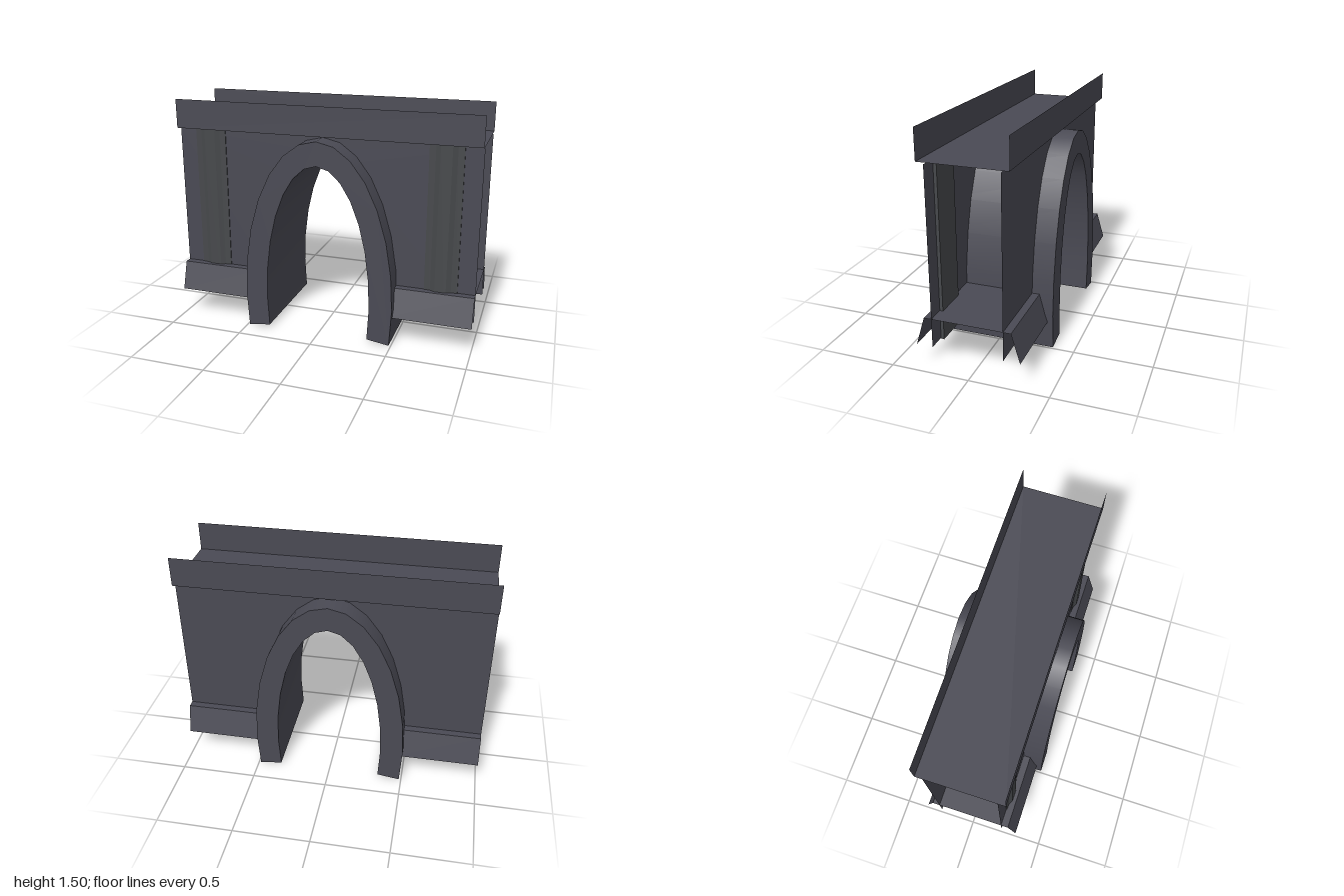
import * as THREE from 'three';
import { toCreasedNormals } from 'three/addons/utils/BufferGeometryUtils.js';

const CENTRE_Y = 0.25; // height of the arch's widest line

// Points along an elliptical arch, from right foot over the crown to left foot
function archPoints(a, b, startDeg, steps = 16) {
  const pts = [];
  for (let i = 0; i <= steps; i++) {
    const t = THREE.MathUtils.degToRad(startDeg + (180 - 2 * startDeg) * i / steps);
    pts.push(new THREE.Vector2(a * Math.cos(t), CENTRE_Y + b * Math.sin(t)));
  }
  return pts;
}

// Thin sheet spanning x0..x1, between two (y, z) lines
function sheet(x0, x1, [ya, za], [yb, zb]) {
  const g = new THREE.BufferGeometry();
  g.setAttribute('position', new THREE.Float32BufferAttribute(
    [x0, ya, za, x1, ya, za, x1, yb, zb, x0, yb, zb], 3));
  g.setIndex([0, 1, 2, 0, 2, 3]);
  g.computeVertexNormals();
  return g;
}

export function createModel() {
  const model = new THREE.Group();
  model.name = 'archedBridge';
  const stone = new THREE.MeshStandardMaterial({ color: 0x4a4a54, side: THREE.DoubleSide });
  stone.name = 'darkStone';
  const pier = new THREE.MeshStandardMaterial({ color: 0x47494c, side: THREE.DoubleSide });
  pier.name = 'greyPilaster';

  const add = (name, geometry, material = stone) => {
    const mesh = new THREE.Mesh(geometry, material);
    mesh.name = name;
    model.add(mesh);
    return mesh;
  };

  // Arch ring through the full depth
  const ring = new THREE.Shape([
    ...archPoints(0.5, 1.05, -13.77),
    ...archPoints(0.35, 0.895, -14.8).reverse(),
  ]);
  const ringGeo = new THREE.ExtrudeGeometry(ring, { depth: 0.72, bevelEnabled: false });
  ringGeo.translate(0, 0, -0.36);
  add('archRing', toCreasedNormals(ringGeo, 0.6));

  // Side walls, cut away inside the arch ring
  const cut = archPoints(0.43, 0.98, -4.1).reverse();
  const wall = new THREE.Shape([
    new THREE.Vector2(-1, 0.18), ...cut, new THREE.Vector2(1, 0.18),
    new THREE.Vector2(1, 1.3), new THREE.Vector2(-1, 1.3),
  ]);
  for (const [label, s] of [['front', 1], ['back', -1]]) {
    const wallGeo = new THREE.ShapeGeometry(wall);
    if (s < 0) wallGeo.rotateY(Math.PI);
    wallGeo.translate(0, 0, 0.222 * s);
    add(label + 'Wall', wallGeo);

    // Upright parapet on the deck edge
    add(label + 'Parapet', s > 0
      ? sheet(-1, 1, [1.31, 0.27], [1.5, 0.27])
      : sheet(1, -1, [1.31, -0.27], [1.5, -0.27]));

    // Sloping skirts either side of the arch
    for (const [side, m] of [['Left', 1], ['Right', -1]]) {
      const [x0, x1] = m * s > 0 ? [0.46 * m, m] : [m, 0.46 * m];
      add(label + side + 'Skirt', sheet(x0, x1, [0.18, 0.325 * s], [0.365, 0.27 * s]));
    }
  }

  // Deck and the lower ledges
  add('deck', sheet(-1, 1, [1.31, 0.27], [1.31, -0.27]));
  add('leftLedge', sheet(0.43, 1, [0.365, 0.27], [0.365, -0.27]));
  add('rightLedge', sheet(-1, -0.43, [0.365, 0.27], [0.365, -0.27]));

  // Shallow pilasters set into the front wall
  const half = [[0.11, 0.2], [0.106, 0.226], [0.066, 0.23], [0.036, 0.245]];
  const profile = [...half, ...half.map(([x, z]) => [-x, z]).reverse()]
    .map(([x, z]) => new THREE.Vector2(x, -z));
  for (const [side, m] of [['left', 1], ['right', -1]]) {
    const g = new THREE.ExtrudeGeometry(new THREE.Shape(profile), { depth: 1.13, bevelEnabled: false });
    g.rotateX(-Math.PI / 2);
    g.translate(0.78 * m, 0.175, 0);
    add(side + 'Pilaster', g, pier);
  }
  return model;
}
